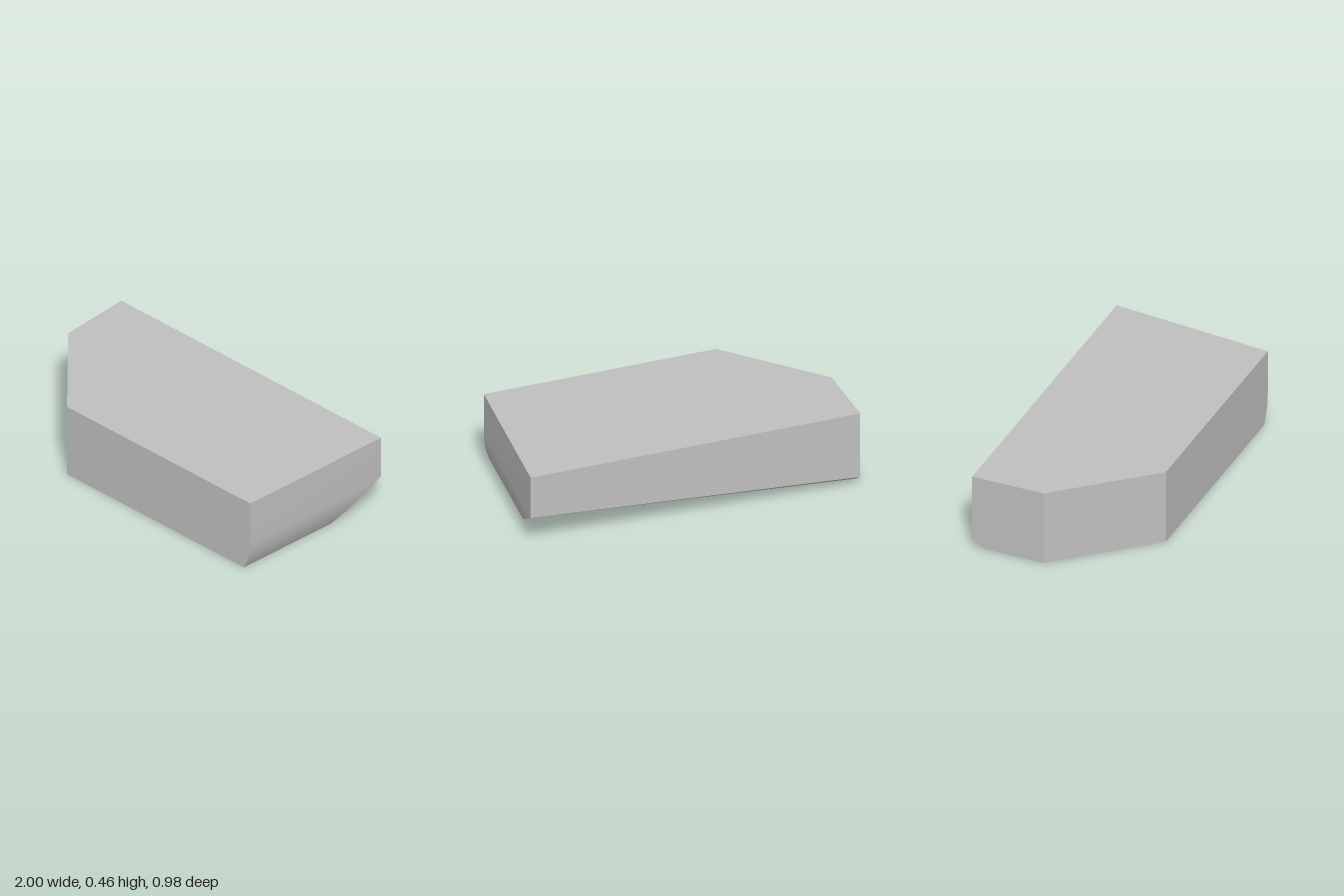
import * as THREE from 'three';
import { toCreasedNormals } from 'three/addons/utils/BufferGeometryUtils.js';

const TOP = 0.463, FRONT = 0.49, BACK = -0.49;
const CURVE = 0.2, RADIUS = 0.425, STEPS = 12;

const v = (x, y, z) => new THREE.Vector3(x, y, z);

// Convex solid from polygon faces, each fanned and wound outwards
function solidFromFaces(faces, centre) {
  const pos = [];
  const triangle = (a, b, c) => {
    const n = b.clone().sub(a).cross(c.clone().sub(a));
    const outward = n.dot(a.clone().sub(centre)) > 0;
    for (const p of outward ? [a, b, c] : [a, c, b]) pos.push(p.x, p.y, p.z);
  };
  for (const f of faces)
    for (let i = 1; i < f.length - 1; i++) triangle(f[0], f[i], f[i + 1]);
  const g = new THREE.BufferGeometry();
  g.setAttribute('position', new THREE.Float32BufferAttribute(pos, 3));
  return toCreasedNormals(g, 0.3);
}

export function createModel() {
  const grey = new THREE.MeshStandardMaterial({ color: 0xbfbfbf });
  grey.name = 'plain grey';

  // The left side leans in towards the front and curves under at the bottom
  const sideX = (y, z) => {
    const h = Math.max(0, CURVE - y);
    const tuck = RADIUS - Math.sqrt(RADIUS * RADIUS - h * h);
    return 0.95 - 0.05 * z / FRONT - tuck;
  };

  // Edges of the curved side (front, back) and the far edge of the chamfer
  const front = [], back = [], far = [];
  for (let i = 0; i <= STEPS; i++) {
    const t = i / STEPS, y = CURVE * t;
    const z = THREE.MathUtils.lerp(-0.16, BACK, t);
    front.push(v(sideX(y, FRONT), y, FRONT));
    back.push(v(sideX(y, z), y, z));
    far.push(v(-1, 0.05 * t, THREE.MathUtils.lerp(-0.417, BACK, t)));
  }

  const topBackL = v(1, TOP, BACK), topFrontL = v(0.9, TOP, FRONT);
  const topFrontR = v(-0.51, TOP, FRONT), topMidR = v(-1, TOP, -0.05), topBackR = v(-1, TOP, BACK);
  const lowFrontR = v(-0.51, 0, FRONT), lowMidR = v(-1, 0, -0.05);

  const faces = [
    [topBackR, topMidR, topFrontR, topFrontL, topBackL],          // top
    [far[0], lowMidR, lowFrontR, front[0], back[0]],              // underside
    [topFrontR, lowFrontR, ...front, topFrontL],                  // front
    [topFrontR, topMidR, lowMidR, lowFrontR],                     // cut corner
    [topMidR, topBackR, far[STEPS], far[0], lowMidR],             // right end
    [topBackR, topBackL, back[STEPS], far[STEPS]],                // back
    [front[STEPS], back[STEPS], topBackL, topFrontL],             // left side
  ];
  for (let i = 0; i < STEPS; i++) {
    faces.push([front[i], back[i], back[i + 1], front[i + 1]]);   // curved side
    faces.push([far[i], back[i], back[i + 1], far[i + 1]]);       // lower back chamfer
  }

  const block = new THREE.Mesh(solidFromFaces(faces, v(0, 0.25, 0)), grey);
  block.name = 'chamferedBlock';

  const group = new THREE.Group();
  group.name = 'wedgeBlock';
  group.add(block);
  return group;
}
